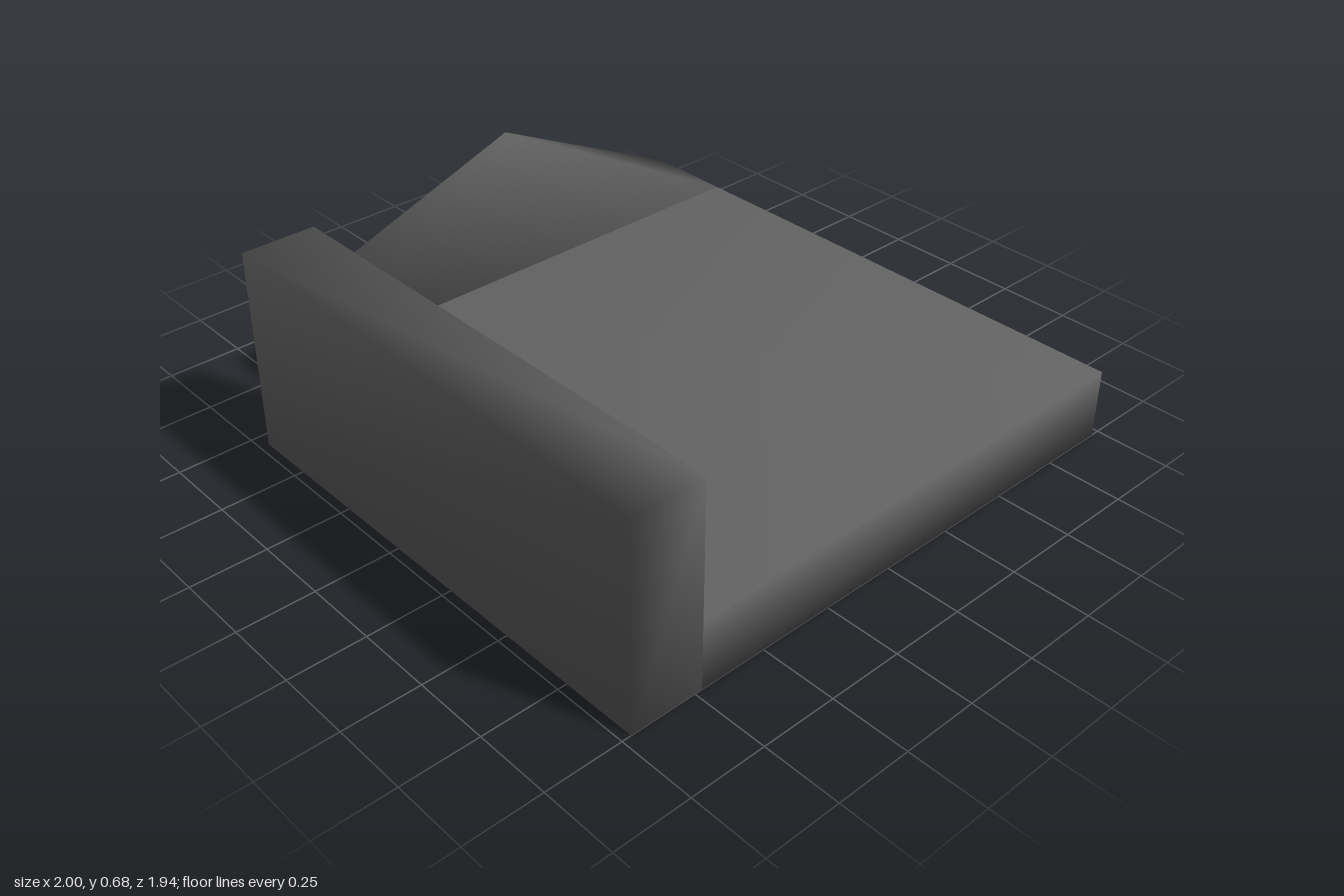
import * as THREE from 'three';
import { mergeVertices } from 'three/addons/utils/BufferGeometryUtils.js';

const grey = new THREE.MeshStandardMaterial({ color: 0x646464 });
grey.name = 'darkGrey';

// Weld the corners so the shading runs softly over the edges
function softened(geometry) {
  geometry.deleteAttribute('normal');
  geometry.deleteAttribute('uv');
  const welded = mergeVertices(geometry, 1e-4);
  welded.computeVertexNormals();
  return welded;
}

// Box spanning two opposite corners, optionally with its top drawn in to a point
function block(name, [x0, y0, z0], [x1, y1, z1], pointed = false) {
  const geometry = new THREE.BoxGeometry(x1 - x0, y1 - y0, z1 - z0);
  if (pointed) {
    const p = geometry.attributes.position;
    for (let i = 0; i < p.count; i++) {
      if (p.getY(i) > 0) p.setXYZ(i, 0, p.getY(i), 0);
    }
  }
  geometry.translate((x0 + x1) / 2, (y0 + y1) / 2, (z0 + z1) / 2);
  const mesh = new THREE.Mesh(softened(geometry), grey);
  mesh.name = name;
  return mesh;
}

export function createModel() {
  const model = new THREE.Group();
  model.name = 'slabWithWallAndSpire';
  model.add(
    // Broad flat floor
    block('baseSlab', [-1, 0, -0.97], [1, 0.235, 0.725]),
    // Upright wall along the front, stopping short of the spire
    block('frontWall', [-0.695, 0, 0.725], [1, 0.68, 0.97]),
    // Long narrow pyramid along one side
    block('sidePyramid', [-1, 0.235, -0.97], [-0.695, 0.67, 0.725], true)
  );
  return model;
}
